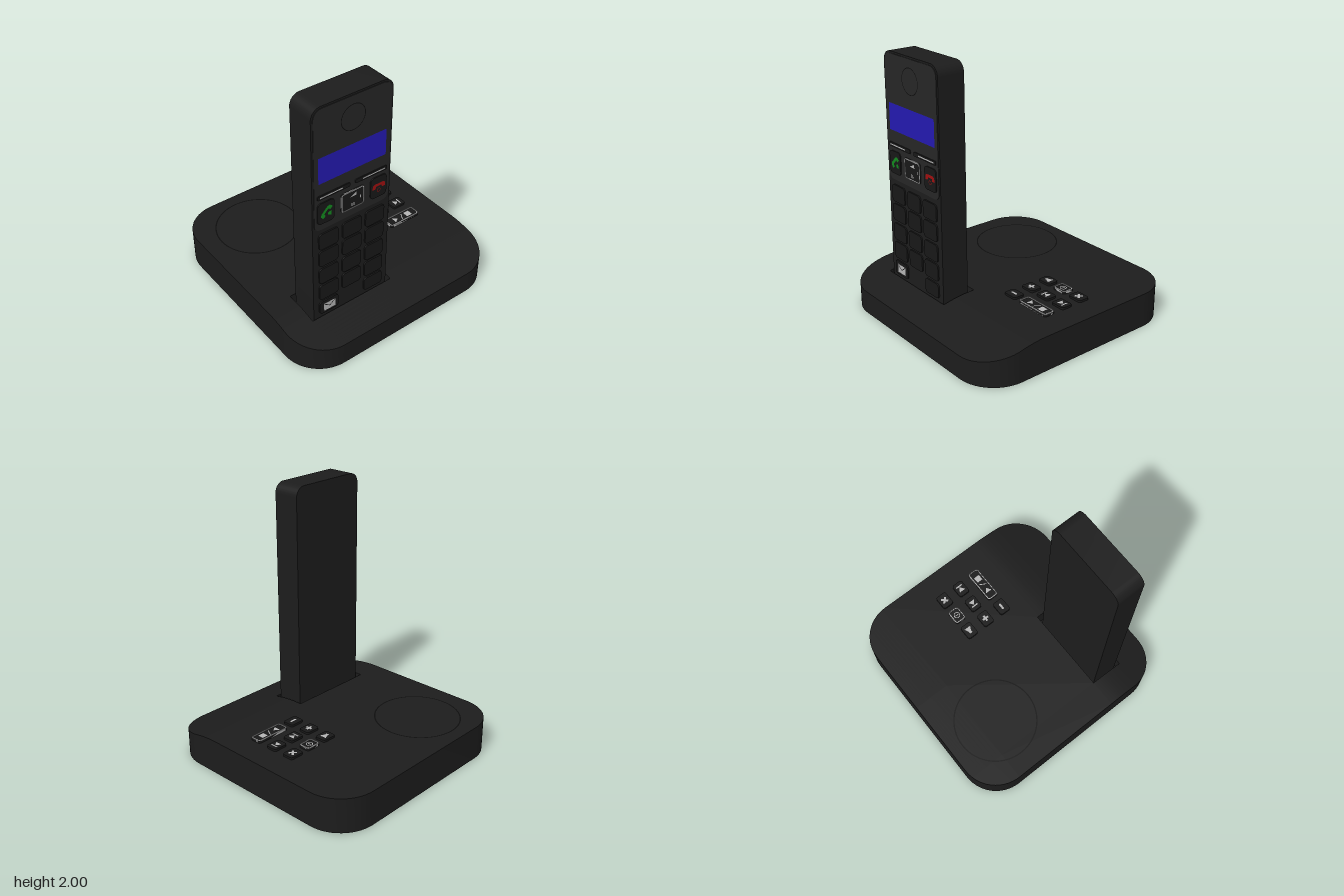
import * as THREE from 'three';
import { toCreasedNormals } from 'three/addons/utils/BufferGeometryUtils.js';

const mat = (color) => new THREE.MeshStandardMaterial({ color });
const BODY = mat(0x1c1c1c), PLATE = mat(0x262626), KEY = mat(0x181818), GROOVE = mat(0x0c0c0c);
const MARK = mat(0xb4b4b4), SCREEN = mat(0x2419b0), GREEN = mat(0x128a1e), RED = mat(0xa01010);

function add(parent, name, geometry, material, x = 0, y = 0, z = 0) {
  const mesh = new THREE.Mesh(geometry, material);
  mesh.name = name;
  mesh.position.set(x, y, z);
  parent.add(mesh);
  return mesh;
}

// Rounded rectangle centred on the origin; separate radii for top and bottom corners
function roundRect(w, h, top, bottom = top, S = THREE.Shape) {
  const s = new S(), a = w / 2, b = h / 2;
  s.moveTo(-a + bottom, -b);
  s.lineTo(a - bottom, -b);
  if (bottom) s.absarc(a - bottom, -b + bottom, bottom, -Math.PI / 2, 0);
  s.lineTo(a, b - top);
  if (top) s.absarc(a - top, b - top, top, 0, Math.PI / 2);
  s.lineTo(-a + top, b);
  if (top) s.absarc(-a + top, b - top, top, Math.PI / 2, Math.PI);
  s.lineTo(-a, -b + bottom);
  if (bottom) s.absarc(-a + bottom, -b + bottom, bottom, Math.PI, Math.PI * 1.5);
  return s;
}

function extrude(shape, depth) {
  return toCreasedNormals(new THREE.ExtrudeGeometry(shape, { depth, bevelEnabled: false, curveSegments: 10 }), 0.6);
}

const key = (parent, name, x, y, w, h, depth, r = 0.02) =>
  add(parent, name, extrude(roundRect(w, h, r), depth), KEY, x, y, 0);

// Light rounded frame around a key
function frame(parent, name, x, y, w, h, depth, t = 0.008) {
  const s = roundRect(w, h, 0.022);
  s.holes.push(roundRect(w - 2 * t, h - 2 * t, 0.015, 0.015, THREE.Path));
  add(parent, name, extrude(s, depth), MARK, x, y, 0);
}

// Flat pictogram from a counter-clockwise outline
function icon(parent, name, points, x, y, z, material = MARK, angle = 0) {
  const s = new THREE.Shape(points.map(([u, v]) => new THREE.Vector2(u, v)));
  add(parent, name, new THREE.ShapeGeometry(s), material, x, y, z).rotation.z = angle;
}
const bar = (w, h) => [[-w / 2, -h / 2], [w / 2, -h / 2], [w / 2, h / 2], [-w / 2, h / 2]];

function ring(parent, name, r, t, x, y, z, material) {
  add(parent, name, new THREE.RingGeometry(r - t, r, 64), material, x, y, z);
}

// Top of the base: flat, then curving down to a straight front slope
const baseTop = (z) => z < 0.377 ? 0.27 : z < 0.6 ? 0.27 - 0.5 * (z - 0.377) ** 2 : 0.245 - 0.224 * (z - 0.6);

// Base lofted along z, with a notch in the cross-section for the cradle slot
function baseGeometry() {
  const R = 0.3, E = 0.89, slot = [0.345, 0.62], floor = 0.1;
  const zs = [];
  for (let i = 0; i <= 14; i++) {
    const d = E - R + R * Math.cos((i / 14) * Math.PI / 2);
    zs.push([-d, false], [d, false]);
  }
  for (let z = 0.38; z < 0.61; z += 0.03) zs.push([z, true]);
  zs.push([slot[0], false], [slot[0] + 1e-5, true], [slot[1] - 1e-5, true], [slot[1], false]);
  zs.forEach((s) => { s[1] = s[0] > slot[0] && s[0] < slot[1]; });
  zs.sort((a, b) => a[0] - b[0]);

  const loops = zs.map(([z, cut]) => {
    const k = Math.max(0, Math.abs(z) - (E - R)) / R;
    const w = E - R + R * Math.sqrt(Math.max(0, 1 - k * k));
    const h = baseTop(z), d = cut ? floor : h, l = Math.max(-0.67, -w), r = 0.045;
    return [[-w, 0], [w, 0], [w, h], [r, h], [r, d], [l, d], [l, h], [-w, h]].map(([x, y]) => [x, y, z]);
  });
  const pos = [], tri = (a, b, c) => pos.push(...a, ...b, ...c);
  for (let i = 0; i < loops.length - 1; i++) {
    for (let j = 0; j < 8; j++) {
      const n = (j + 1) % 8, [p, q] = [loops[i], loops[i + 1]];
      tri(p[j], p[n], q[n]);
      tri(p[j], q[n], q[j]);
    }
  }
  const first = loops[0], last = loops[loops.length - 1];
  for (let j = 1; j < 7; j++) {
    tri(last[0], last[j], last[j + 1]);
    tri(first[0], first[j + 1], first[j]);
  }
  const g = new THREE.BufferGeometry();
  g.setAttribute('position', new THREE.Float32BufferAttribute(pos, 3));
  return toCreasedNormals(g, 0.5);
}

function buildHandset() {
  const g = new THREE.Group();
  g.name = 'handset';
  const cx = -0.315;
  add(g, 'handsetBody', extrude(roundRect(0.66, 1.9, 0.08, 0), 0.22), BODY, cx, 1.05, 0.38);

  // Everything on the front face sits on its plane
  const f = new THREE.Group();
  f.name = 'handsetFront';
  f.position.z = 0.6;
  g.add(f);
  add(f, 'facePlate', extrude(roundRect(0.63, 0.955, 0.07, 0.05), 0.004), PLATE, cx, 1.508, 0);
  ring(f, 'earpiece', 0.1, 0.006, cx, 1.825, 0.006, GROOVE);
  add(f, 'screen', new THREE.PlaneGeometry(0.56, 0.205), SCREEN, cx, 1.518, 0.006);

  // Soft keys, call keys and navigation key
  for (const s of [-1, 1]) {
    key(f, 'softKey', cx + s * 0.157, 1.305, 0.27, 0.032, 0.011, 0.01);
    icon(f, 'softKeyLine', bar(0.19, 0.009), cx + s * 0.178, 1.305, 0.0125);
    key(f, 'callKey', cx + s * 0.223, 1.17, 0.14, 0.175, 0.012, 0.03);
  }
  const receiver = [[-0.055, -0.02], [-0.028, -0.02], [-0.024, 0], [0.024, 0], [0.028, -0.02],
    [0.055, -0.02], [0.052, 0.012], [0.035, 0.022], [-0.035, 0.022], [-0.052, 0.012]];
  icon(f, 'answerIcon', receiver, cx - 0.223, 1.175, 0.0135, GREEN, Math.PI / 4);
  icon(f, 'answerSpeakerIcon', [[-0.015, -0.008], [0.012, -0.02], [0.012, 0.02], [-0.015, 0.008]], cx - 0.193, 1.15, 0.0135, GREEN);
  icon(f, 'hangUpIcon', receiver, cx + 0.223, 1.18, 0.0135, RED);
  ring(f, 'hangUpPowerIcon', 0.016, 0.004, cx + 0.223, 1.145, 0.0135, RED);
  key(f, 'navigationKey', cx, 1.17, 0.195, 0.155, 0.012);
  frame(f, 'navigationFrame', cx, 1.17, 0.195, 0.155, 0.014);
  icon(f, 'volumeIcon', [[-0.03, -0.01], [0.03, -0.01], [0.03, 0.018]], cx, 1.205, 0.0135);
  for (const s of [-1, 1]) icon(f, 'pauseIcon', bar(0.009, 0.026), cx + s * 0.008, 1.128, 0.0135);
  icon(f, 'microphoneIcon', bar(0.009, 0.024), cx + 0.065, 1.168, 0.0135);

  // Keypad: four full rows and a last row with an empty middle
  [0.923, 0.77, 0.61, 0.456, 0.308].forEach((y, row) => {
    for (const col of [-1, 0, 1]) {
      if (row === 4 && col === 0) continue;
      key(f, 'keypadKey', cx + col * 0.2, y, 0.165, row === 4 ? 0.115 : 0.135, 0.011, 0.025);
    }
  });
  icon(f, 'envelope', bar(0.1, 0.068), cx - 0.197, 0.305, 0.0125);
  for (const s of [-1, 1]) icon(f, 'envelopeFold', bar(0.06, 0.006), cx - 0.197 + s * 0.024, 0.318, 0.0135, KEY, s * 0.65);
  return g;
}

function buildBaseKeys() {
  const g = new THREE.Group();
  g.name = 'baseKeys';
  g.position.y = 0.27;
  g.rotation.x = -Math.PI / 2; // local y points to the back
  const X = [0.298, 0.464, 0.631], Y = [0.167, 0, -0.167], D = 0.017, Z = 0.0185;
  for (let r = 0; r < 3; r++) {
    for (let c = 0; c < 3; c++) if (r < 2 || c === 0) key(g, 'baseKey', X[c], Y[r], 0.12, 0.095, D);
  }
  key(g, 'playStopKey', 0.547, Y[2], 0.285, 0.095, D);
  frame(g, 'playStopFrame', 0.547, Y[2], 0.285, 0.095, 0.021);
  frame(g, 'powerFrame', X[1], Y[0], 0.12, 0.095, 0.021);

  icon(g, 'speakerIcon', [[-0.028, -0.012], [-0.008, -0.012], [0.026, -0.028], [0.026, 0.028], [-0.008, 0.012], [-0.028, 0.012]], X[0], Y[0], Z);
  ring(g, 'powerRing', 0.026, 0.006, X[1], Y[0], Z, MARK);
  icon(g, 'powerBar', bar(0.006, 0.028), X[1], Y[0], Z);
  for (const s of [-1, 1]) icon(g, 'crossIcon', bar(0.06, 0.017), X[2], Y[0], Z, MARK, s * Math.PI / 4);
  icon(g, 'plusIcon', bar(0.054, 0.017), X[0], Y[1], Z);
  icon(g, 'plusIcon', bar(0.017, 0.054), X[0], Y[1], Z);
  icon(g, 'minusIcon', bar(0.054, 0.017), X[0], Y[2], Z);

  // Skip back / skip forward, then play, slash and stop
  const play = [[-0.018, -0.028], [0.022, 0], [-0.018, 0.028]];
  icon(g, 'skipBackIcon', play, X[1] + 0.006, Y[1], Z, MARK, Math.PI);
  icon(g, 'skipBackBar', bar(0.011, 0.056), X[1] - 0.024, Y[1], Z);
  icon(g, 'skipForwardIcon', play, X[2] - 0.006, Y[1], Z);
  icon(g, 'skipForwardBar', bar(0.011, 0.056), X[2] + 0.024, Y[1], Z);
  icon(g, 'playIcon', play, 0.485, Y[2], Z);
  icon(g, 'slashIcon', bar(0.007, 0.064), 0.548, Y[2], Z, MARK, -0.5);
  icon(g, 'stopIcon', bar(0.05, 0.05), 0.61, Y[2], Z);

  // Groove ring around the loudspeaker
  ring(g, 'loudspeakerGroove', 0.333, 0.01, -0.42, 0.46, 0.0015, GROOVE);
  return g;
}

export function createModel() {
  const model = new THREE.Group();
  model.name = 'cordlessPhone';
  add(model, 'base', baseGeometry(), BODY);
  model.add(buildHandset(), buildBaseKeys());
  return model;
}
